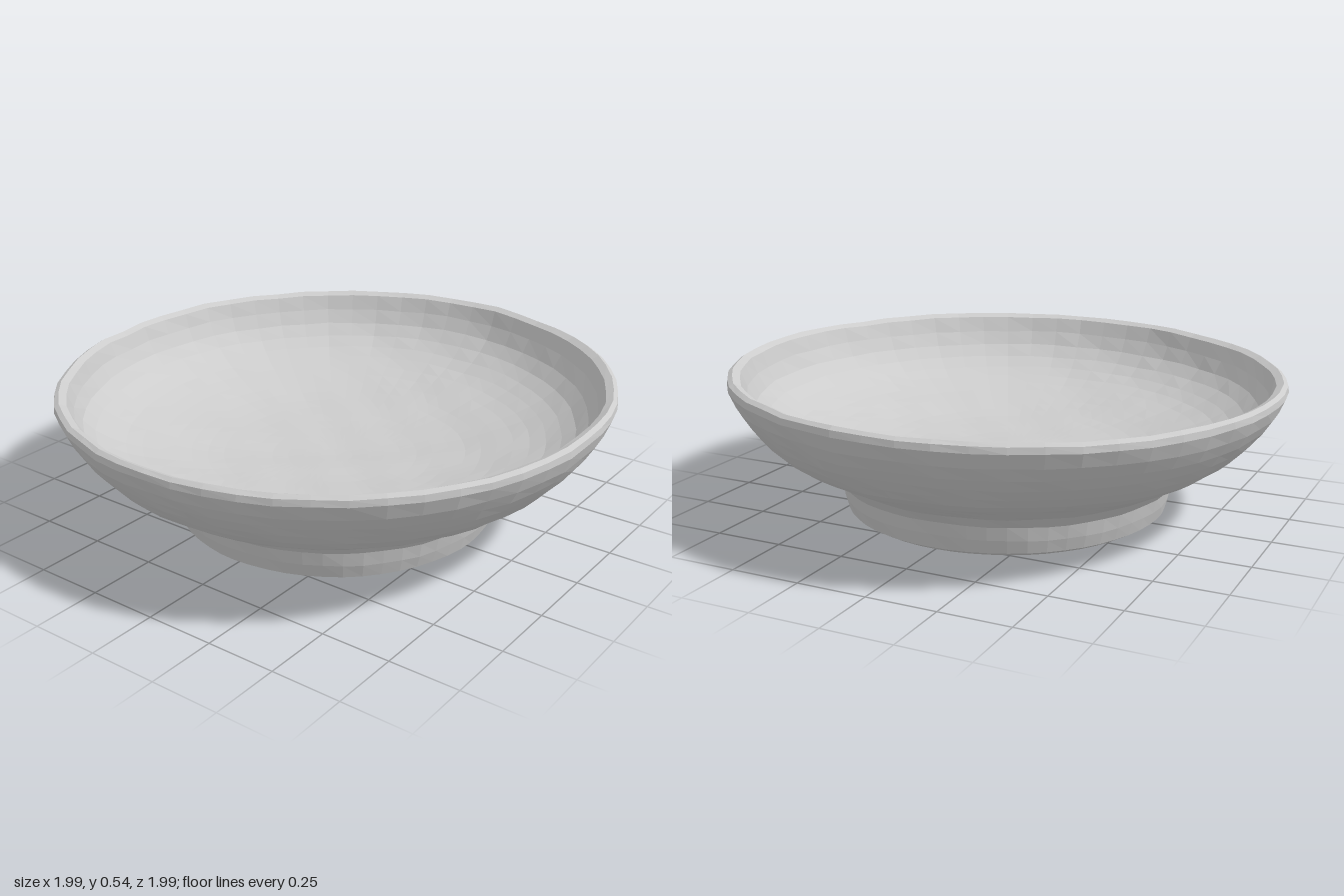
import * as THREE from 'three';

// Smooth, repeatable unevenness, like hand-shaped clay
function wobble(x, y, z) {
  return 0.5 * Math.sin(9 * x + 7 * y + 1.3) * Math.cos(8 * z - 5 * y)
    + 0.5 * Math.sin(23 * z + 17 * y) * Math.cos(21 * x + 0.7);
}

// Turns a [radius, height] profile, then makes it slightly irregular
function turned(name, profile, material) {
  const geometry = new THREE.LatheGeometry(profile.map(([r, y]) => new THREE.Vector2(r, y)), 56);
  const p = geometry.attributes.position;
  for (let i = 0; i < p.count; i++) {
    const x = p.getX(i), y = p.getY(i), z = p.getZ(i);
    const s = 1 + (Math.hypot(x, z) > 0.3 ? 0.006 * wobble(x, y, z) : 0);
    // The rim rises a little towards +x
    const lift = y * (0.028 * x - 0.005 * z);
    const dent = y > 0.05 ? 0.005 * wobble(z, x, y) : 0;
    p.setXYZ(i, x * s, y + lift + dent, z * s);
  }
  geometry.computeVertexNormals();
  const mesh = new THREE.Mesh(geometry, material);
  mesh.name = name;
  return mesh;
}

// Rounds a few profile points into a smooth curve
function smooth(points, count) {
  const curve = new THREE.SplineCurve(points.map(([r, y]) => new THREE.Vector2(r, y)));
  return curve.getSpacedPoints(count).map((v) => [Math.max(v.x, 0), v.y]);
}

export function createModel() {
  const group = new THREE.Group();
  group.name = 'bowl';
  const clay = new THREE.MeshStandardMaterial({ color: 0xcccccc, flatShading: true });

  // Closed, flat-bottomed foot
  group.add(turned('foot', [
    [0, 0.003], [0.3, 0.003], [0.56, 0.005], [0.585, 0.02], [0.6, 0.07], [0.61, 0.12], [0.645, 0.16],
  ], clay));

  // Flared outer wall
  group.add(turned('outerWall', smooth([
    [0.645, 0.16], [0.73, 0.205], [0.82, 0.255], [0.885, 0.315], [0.935, 0.375], [0.975, 0.435], [0.998, 0.49],
  ], 9), clay));

  // Narrow rounded rim
  group.add(turned('rim', [
    [0.998, 0.49], [0.995, 0.512], [0.98, 0.522], [0.955, 0.51],
  ], clay));

  // Shallow inside, steep only near the rim
  group.add(turned('inside', smooth([
    [0.955, 0.51], [0.925, 0.435], [0.88, 0.375], [0.8, 0.32],
    [0.7, 0.28], [0.55, 0.24], [0.4, 0.215], [0.2, 0.2], [0, 0.195],
  ], 18), clay));

  return group;
}
